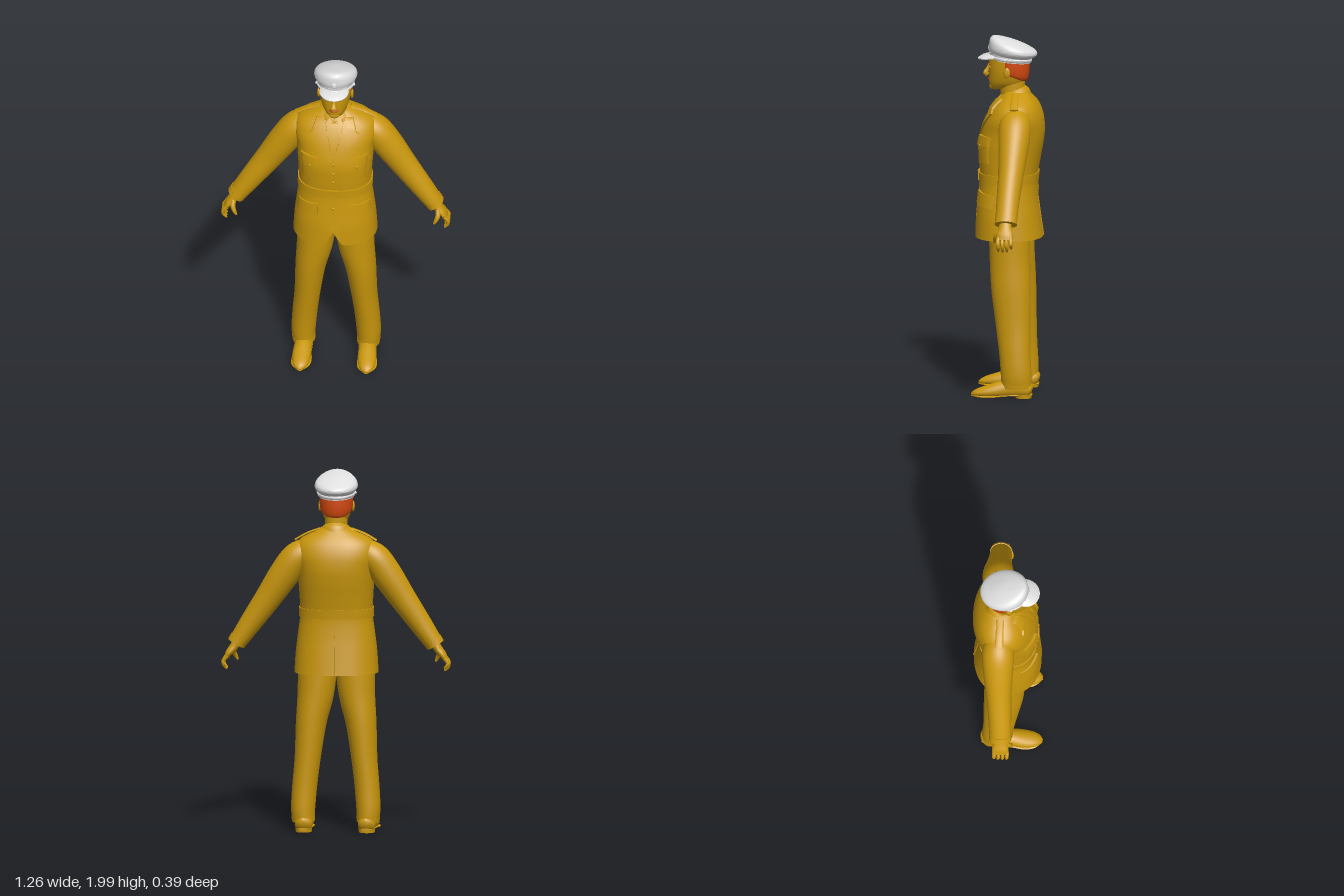
import * as THREE from 'three';
import { toCreasedNormals } from 'three/addons/utils/BufferGeometryUtils.js';

const material = (name, color) => {
  const m = new THREE.MeshStandardMaterial({ color });
  m.name = name;
  return m;
};

// Smooth curve through rows of numbers; keys are the row positions
const spline = (rows, keys = rows.map((_, i) => i)) => {
  const curve = new THREE.CubicInterpolant(keys, rows.flat(), rows[0].length);
  return t => Array.from(curve.evaluate(t));
};
const resample = (rows, steps) => {
  const at = spline(rows);
  return Array.from({ length: steps + 1 }, (_, i) => at(i / steps * (rows.length - 1)));
};

// Turn every face outward by the sign of the enclosed volume
function orient(geo) {
  const p = geo.attributes.position, ix = geo.index.array;
  const [a, b, c] = [0, 1, 2].map(() => new THREE.Vector3());
  let volume = 0;
  for (let i = 0; i < ix.length; i += 3) {
    [a, b, c].forEach((v, k) => v.fromBufferAttribute(p, ix[i + k]));
    volume += a.dot(b.cross(c));
  }
  if (volume < 0) for (let i = 0; i < ix.length; i += 3) [ix[i], ix[i + 1]] = [ix[i + 1], ix[i]];
  return toCreasedNormals(geo, 0.8);
}

// Closed skin over a list of rings
function skin(rings) {
  const n = rings[0].length, last = rings.length - 1, index = [];
  const points = rings.flat();
  const middle = r => r.reduce((s, p) => s.add(p), new THREE.Vector3()).divideScalar(n);
  points.push(middle(rings[0]), middle(rings[last]));
  const start = n * (last + 1);
  for (let j = 0; j < n; j++) {
    const k = (j + 1) % n;
    for (let i = 0; i < last; i++) {
      const a = i * n + j, b = i * n + k;
      index.push(a, b, a + n, b, b + n, a + n);
    }
    index.push(start, k, j, start + 1, last * n + j, last * n + k);
  }
  const geo = new THREE.BufferGeometry().setFromPoints(points);
  geo.setIndex(index);
  return orient(geo);
}

// Rings around a path; rows are [x, y, z, half width, half depth along ref]
function limb(rows, { steps = 24, sides = 24, ref = [0, 0, 1], floor = -1 } = {}) {
  const path = resample(rows, steps), pos = path.map(r => new THREE.Vector3(r[0], r[1], r[2]));
  const axis = new THREE.Vector3(...ref);
  return skin(path.map((r, i) => {
    const t = pos[Math.min(i + 1, steps)].clone().sub(pos[Math.max(i - 1, 0)]).normalize();
    const u = t.clone().cross(axis).normalize(), v = u.clone().cross(t);
    return Array.from({ length: sides }, (_, j) => {
      const a = j / sides * Math.PI * 2;
      const p = pos[i].clone().addScaledVector(u, r[3] * Math.cos(a)).addScaledVector(v, r[4] * Math.sin(a));
      p.y = Math.max(p.y, floor);
      return p;
    });
  }));
}

// Level or tilted ovals; rows are [half width, front z, back z, front y, back y]
function stack(rows, { steps = 0, n = 2, cz, sides = 48, bend } = {}) {
  const pow = v => Math.sign(v) * Math.abs(v) ** (2 / n);
  return skin((steps ? resample(rows, steps) : rows).map(([rx, zf, zb, yf, yb]) => {
    const c = cz ?? (zf + zb) / 2;
    return Array.from({ length: sides }, (_, j) => {
      const a = j / sides * Math.PI * 2, s = pow(Math.sin(a));
      const z = c + (s > 0 ? zf - c : c - zb) * s;
      const p = new THREE.Vector3(rx * pow(Math.cos(a)), yb + (yf - yb) * (z - zb) / (zf - zb), z);
      if (bend) bend(p);
      return p;
    });
  }));
}

// Jacket profile by height: half width, front z, back z
const heights = [0.88, 1.0, 1.1, 1.2, 1.3, 1.4, 1.47, 1.55, 1.62, 1.66, 1.69];
const jacketAt = spline([
  [0.232, 0.19, -0.185], [0.224, 0.184, -0.168], [0.212, 0.172, -0.155], [0.2, 0.163, -0.15],
  [0.203, 0.168, -0.165], [0.21, 0.168, -0.183], [0.215, 0.152, -0.19], [0.228, 0.122, -0.182],
  [0.2, 0.08, -0.155], [0.13, 0.045, -0.125], [0.075, 0.025, -0.1]], heights);
const FULL = 2.3;
const jacketRow = (y, grow = 0) => {
  const [rx, zf, zb] = jacketAt(y);
  return [rx + grow, zf + grow, zb - grow, y, y];
};
const surfaceZ = (x, y, back) => {
  const [rx, zf, zb] = jacketAt(y), c = (zf + zb) / 2;
  const d = (zf - zb) / 2 * Math.max(0, 1 - Math.abs(x / rx) ** FULL) ** (1 / FULL);
  return back ? c - d : c + d;
};

// Four-cornered cloth plate that follows the jacket surface
function plate(corners, t, back = false) {
  const geo = new THREE.BoxGeometry(1, 1, 1, 8, 8, 1), p = geo.attributes.position;
  const [a, b, c, d] = corners;
  for (let i = 0; i < p.count; i++) {
    const u = p.getX(i) + 0.5, v = p.getY(i) + 0.5;
    const [x, y] = [0, 1].map(k => (1 - v) * ((1 - u) * a[k] + u * b[k]) + v * ((1 - u) * d[k] + u * c[k]));
    const lift = p.getZ(i) > 0 ? t : -0.006;
    p.setXYZ(i, x, y, surfaceZ(x, y, back) + (back ? -lift : lift));
  }
  return orient(geo);
}

export function createModel() {
  const model = new THREE.Group(), body = new THREE.Group();
  body.name = 'body';
  body.position.x = -0.008;
  model.add(body);
  const khaki = material('mustard', 0xc8960c), white = material('cap white', 0xdedede);
  const red = material('hair red', 0xd2480e), lipRed = material('lip red', 0xc4300c);
  const add = (name, geo, mat = khaki) => {
    const mesh = new THREE.Mesh(geo, mat);
    mesh.name = name;
    body.add(mesh);
    return mesh;
  };
  const ball = (name, x, y, z, sx, sy, sz, mat) => {
    const mesh = add(name, new THREE.SphereGeometry(1, 20, 14), mat);
    mesh.position.set(x, y, z);
    mesh.scale.set(sx, sy, sz);
    return mesh;
  };

  // Jacket, hollow at the hem and cut away at the front
  const rows = Array.from({ length: 41 }, (_, i) => jacketRow(0.88 + 0.81 * i / 40));
  const inner = jacketRow(0.88, -0.012);
  rows.unshift([...inner.slice(0, 3), 0.96, 0.96], inner);
  add('jacket', stack(rows, { n: FULL, sides: 72, bend: p => {
    if (p.z > 0 && p.y < 1) p.y += (1 - p.y) * 0.75 * Math.exp(-((p.x / 0.03) ** 2));
  } }));
  add('belt', stack([jacketRow(1.19), jacketRow(1.19, 0.007), jacketRow(1.24, 0.007), jacketRow(1.24)], { n: FULL, sides: 72 }));
  add('buckle', plate([[-0.03, 1.187], [0.03, 1.187], [0.03, 1.243], [-0.03, 1.243]], 0.013));
  add('frontSeam', plate([[0.012, 0.98], [0.016, 0.98], [0.016, 1.43], [0.012, 1.43]], 0.003));
  add('backVent', plate([[-0.004, 0.885], [0.004, 0.885], [0.002, 1.1], [-0.002, 1.1]], 0.004, true));
  for (const y of [1.12, 1.3, 1.36, 1.42]) ball('button', 0, y, surfaceZ(0, y) + 0.003, 0.009, 0.009, 0.005);
  add('collar', stack([[0.1, 0.075, -0.118, 1.62, 1.67], [0.088, 0.068, -0.105, 1.645, 1.7], [0.07, 0.055, -0.085, 1.665, 1.718]], { steps: 8 }));
  add('tie', plate([[-0.022, 1.44], [0.022, 1.44], [0.012, 1.6], [-0.012, 1.6]], 0.008));
  add('tieKnot', plate([[-0.011, 1.59], [0.011, 1.59], [0.02, 1.64], [-0.02, 1.64]], 0.016));

  // Neck, head and hair
  add('neck', stack([[0.066, 0.05, -0.085, 1.6, 1.6], [0.062, 0.055, -0.08, 1.7, 1.7], [0.064, 0.06, -0.082, 1.77, 1.77]]));
  add('head', stack([
    [0.022, 0.088, 0.01, 1.692, 1.705], [0.045, 0.107, -0.04, 1.7, 1.715], [0.066, 0.115, -0.07, 1.73, 1.735],
    [0.079, 0.116, -0.088, 1.77, 1.77], [0.087, 0.116, -0.098, 1.82, 1.82], [0.089, 0.116, -0.102, 1.89, 1.88]],
  { steps: 24, cz: 0.01, n: 2.2 }));
  add('hair', stack([[0.07, 0.035, -0.085, 1.795, 1.745], [0.086, 0.045, -0.098, 1.8, 1.755], [0.092, 0.05, -0.107, 1.825, 1.8], [0.093, 0.05, -0.108, 1.88, 1.87]],
    { steps: 10, cz: 0, n: 2.2 }), red);
  add('nose', limb([[0, 1.835, 0.112, 0.008, 0.008], [0, 1.805, 0.126, 0.011, 0.01], [0, 1.785, 0.136, 0.014, 0.018], [0, 1.772, 0.124, 0.012, 0.01]], { steps: 12, ref: [1, 0, 0] }));
  ball('upperLip', 0, 1.758, 0.115, 0.026, 0.005, 0.007, lipRed);
  ball('lowerLip', 0, 1.75, 0.114, 0.021, 0.006, 0.008, lipRed);
  ball('chin', 0, 1.715, 0.098, 0.03, 0.02, 0.018);

  // Cap with band, strap, crown and visor
  add('capBand', stack([[0.097, 0.11, -0.115, 1.868, 1.845], [0.102, 0.114, -0.12, 1.905, 1.875]]), white);
  add('capStrap', stack([[0.1, 0.113, -0.117, 1.874, 1.85], [0.105, 0.118, -0.121, 1.878, 1.854], [0.106, 0.119, -0.122, 1.888, 1.864], [0.102, 0.115, -0.119, 1.892, 1.868]]), white);
  add('capCrown', stack([
    [0.1, 0.11, -0.118, 1.9, 1.868], [0.115, 0.116, -0.14, 1.925, 1.88], [0.119, 0.116, -0.15, 1.945, 1.895],
    [0.109, 0.112, -0.142, 1.975, 1.912], [0.08, 0.098, -0.11, 1.993, 1.932], [0.035, 0.065, -0.05, 1.992, 1.962], [0.004, 0.02, 0.01, 1.982, 1.98]],
  { steps: 24 }), white);
  add('visor', stack([[0.06, 0.15, 0.03, 1.872, 1.88], [0.08, 0.177, 0.02, 1.864, 1.882], [0.081, 0.179, 0.02, 1.87, 1.888], [0.062, 0.155, 0.03, 1.886, 1.9]]), white);
  ball('capBadge', 0, 1.925, 0.114, 0.016, 0.02, 0.008, white);

  for (const s of [1, -1]) {
    const flip = rows => rows.map(([x, ...rest]) => [x * s, ...rest]);
    const side = (rows, options) => limb(flip(rows), options);

    // Face details
    ball('ear', 0.092 * s, 1.8, 0.008, 0.009, 0.03, 0.018);
    ball('eye', 0.034 * s, 1.823, 0.107, 0.014, 0.007, 0.008);
    ball('eyebrow', 0.036 * s, 1.842, 0.106, 0.021, 0.004, 0.008, red);
    ball('strapButton', 0.102 * s, 1.873, 0.02, 0.009, 0.009, 0.009, white);

    // Lapels, shirt collar, pockets and shoulder straps
    add('lapel', plate(flip([[0, 1.43], [0.02, 1.44], [0.14, 1.58], [0.052, 1.65]]), 0.01));
    add('lapelCollar', plate(flip([[0.07, 1.62], [0.12, 1.605], [0.1, 1.655], [0.055, 1.66]]), 0.015));
    add('shirtCollar', plate(flip([[0.035, 1.575], [0.045, 1.64], [0.03, 1.665], [0.008, 1.64]]), 0.012));
    add('breastPocket', plate(flip([[0.09, 1.305], [0.175, 1.305], [0.18, 1.44], [0.085, 1.44]]), 0.008));
    add('breastFlap', plate(flip([[0.082, 1.4], [0.183, 1.4], [0.183, 1.455], [0.082, 1.455]]), 0.015));
    add('breastFlapPoint', plate(flip([[0.125, 1.385], [0.14, 1.385], [0.183, 1.402], [0.082, 1.402]]), 0.015));
    ball('pocketButton', 0.132 * s, 1.402, surfaceZ(0.132, 1.402) + 0.015, 0.007, 0.007, 0.005);
    add('hipFlap', plate(flip([[0.085, 1.075], [0.205, 1.06], [0.2, 1.13], [0.085, 1.145]]), 0.011));
    add('shoulderStrap', side([[0.085, 1.682, -0.04, 0.006, 0.022], [0.16, 1.654, -0.042, 0.006, 0.022], [0.225, 1.617, -0.045, 0.006, 0.024]], { steps: 8 }));

    // Sleeve and cuff
    add('sleeve', side([
      [0.14, 1.555, -0.05, 0.075, 0.07], [0.215, 1.52, -0.05, 0.083, 0.088], [0.285, 1.425, -0.05, 0.084, 0.084],
      [0.375, 1.29, -0.046, 0.073, 0.071], [0.465, 1.16, -0.04, 0.062, 0.064], [0.54, 1.05, -0.037, 0.051, 0.06]], { steps: 32, sides: 32 }));
    add('cuff', side([[0.532, 1.067, -0.037, 0.053, 0.062], [0.55, 1.037, -0.037, 0.052, 0.062]], { steps: 2, sides: 32 }));

    // Hand: palm, four curled fingers and thumb
    add('palm', side([[0.545, 1.05, -0.035, 0.024, 0.032], [0.565, 1.015, -0.035, 0.024, 0.038], [0.59, 0.985, -0.036, 0.02, 0.046], [0.607, 0.957, -0.036, 0.013, 0.042]], { steps: 12 }));
    for (let f = 0; f < 4; f++) {
      const z = 0.0 - f * 0.0235, drop = [0.004, 0, 0.003, 0.018][f];
      add('finger', side([
        [0.6, 0.97, z, 0.012, 0.011], [0.62, 0.942, z, 0.011, 0.0105],
        [0.619, 0.915 + drop, z - 0.002, 0.0095, 0.0095], [0.602, 0.894 + drop, z - 0.002, 0.006, 0.006]], { steps: 10, sides: 12 }));
    }
    add('thumb', side([[0.565, 1.01, -0.01, 0.015, 0.016], [0.566, 0.982, 0.012, 0.014, 0.014], [0.556, 0.957, 0.022, 0.011, 0.011], [0.546, 0.937, 0.024, 0.006, 0.006]], { steps: 10, sides: 12 }));

    // Trouser leg and turn-up
    add('trouserLeg', side([
      [0.105, 0.97, -0.005, 0.106, 0.112], [0.105, 0.88, -0.008, 0.107, 0.113], [0.115, 0.75, -0.012, 0.1, 0.112],
      [0.138, 0.6, -0.02, 0.085, 0.109], [0.157, 0.4, -0.034, 0.072, 0.096], [0.172, 0.25, -0.045, 0.069, 0.087],
      [0.18, 0.13, -0.053, 0.067, 0.085], [0.178, 0.06, -0.055, 0.062, 0.083]], { steps: 36, sides: 32 }));
    add('trouserHem', side([[0.179, 0.08, -0.055, 0.065, 0.086], [0.178, 0.055, -0.055, 0.064, 0.086]], { steps: 2, sides: 32 }));

    // Shoe, sole and heel
    const up = { steps: 24, ref: [0, 1, 0] };
    add('shoe', side([
      [0.174, 0.04, -0.14, 0.025, 0.025], [0.174, 0.045, -0.12, 0.046, 0.045], [0.175, 0.05, -0.05, 0.05, 0.055],
      [0.178, 0.045, 0.02, 0.05, 0.05], [0.181, 0.034, 0.09, 0.052, 0.038], [0.183, 0.026, 0.15, 0.043, 0.026],
      [0.184, 0.02, 0.182, 0.027, 0.015], [0.184, 0.018, 0.195, 0.008, 0.006]], { ...up, floor: 0.014 }));
    add('sole', side([
      [0.174, 0.018, -0.14, 0.025, 0.008], [0.175, 0.018, -0.05, 0.046, 0.008], [0.178, 0.014, 0.02, 0.048, 0.008],
      [0.181, 0.008, 0.09, 0.056, 0.008], [0.183, 0.009, 0.15, 0.047, 0.008], [0.184, 0.012, 0.195, 0.012, 0.006]], { ...up, floor: 0 }));
    const heel = add('heel', new THREE.CylinderGeometry(0.046, 0.044, 0.024, 24));
    heel.position.set(0.174 * s, 0.012, -0.093);
  }
  return model;
}
